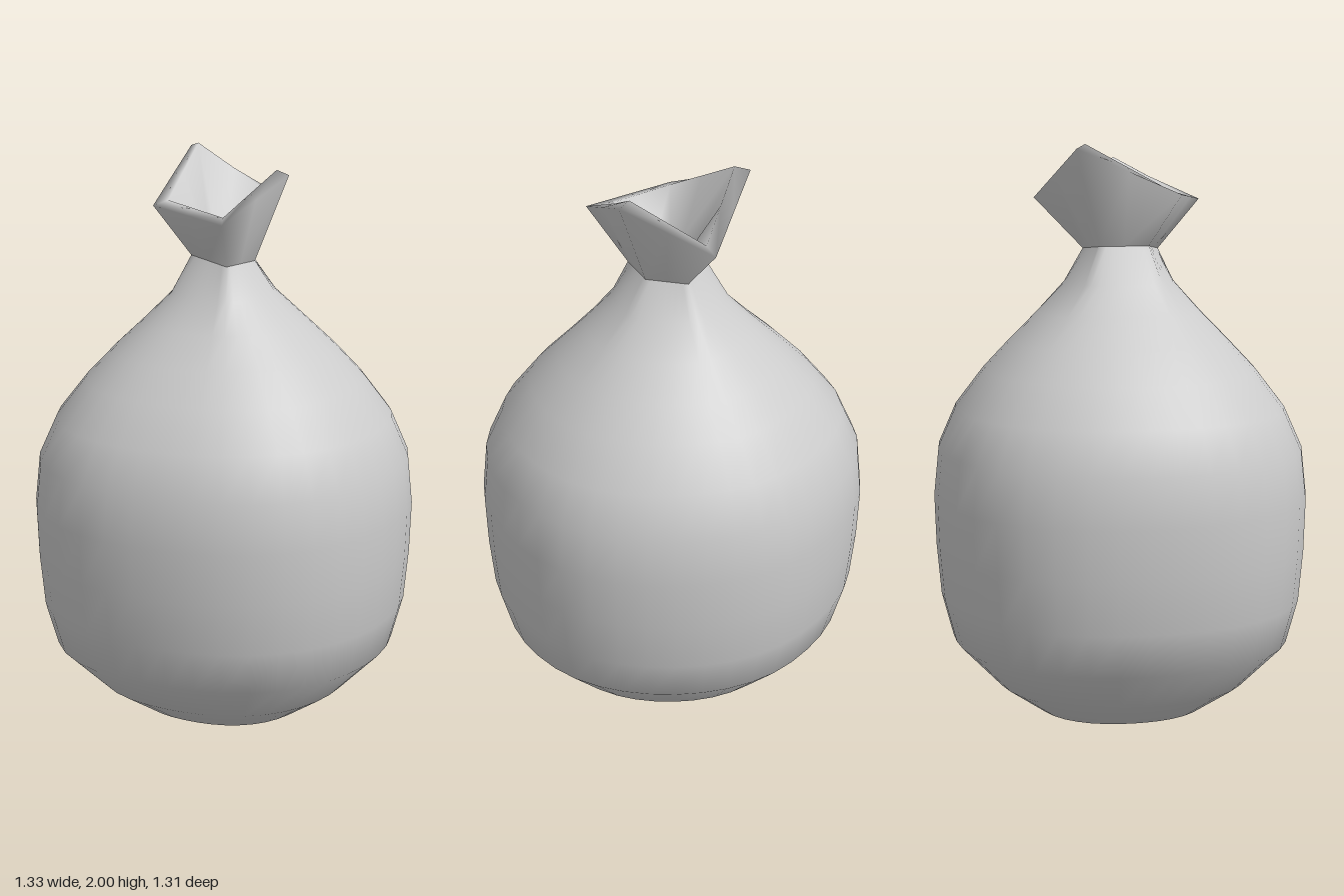
import * as THREE from 'three';

const material = new THREE.MeshStandardMaterial({ color: 0xcccccc });

// Skin a stack of closed rings, each with the same number of points.
function loft(name, rings) {
  const n = rings[0].length, index = [];
  for (let j = 0; j < rings.length - 1; j++) {
    for (let i = 0; i < n; i++) {
      const a = j * n + i, b = j * n + (i + 1) % n;
      index.push(a, a + n, b, b, a + n, b + n);
    }
  }
  const geometry = new THREE.BufferGeometry();
  const points = rings.flat().flatMap((p) => [p.x, p.y, p.z]);
  geometry.setAttribute('position', new THREE.Float32BufferAttribute(points, 3));
  geometry.setIndex(index);
  geometry.computeVertexNormals();
  const mesh = new THREE.Mesh(geometry, material);
  mesh.name = name;
  return mesh;
}

// Five corners, running from the left side round by the front.
const corners = (list) => list.map((p) => new THREE.Vector3(...p));
const neck = corners([[0.105, 1.63, 0.015], [0.05, 1.63, 0.15], [-0.1, 1.65, 0.09],
  [-0.1, 1.65, -0.08], [0.04, 1.635, -0.12]]);
const rim = corners([[0.225, 1.93, 0.015], [0.09, 1.8, 0.305], [-0.2, 1.83, 0.185],
  [-0.2, 1.985, -0.175], [0.09, 1.81, -0.285]]);

// Point on a five-sided outline, t from 0 to 1.
function onOutline(outline, t) {
  const s = t * 5, k = Math.floor(s) % 5;
  return outline[k].clone().lerp(outline[(k + 1) % 5], s - Math.floor(s));
}

// Uneven bulge of the sack, given every 45 degrees.
const bulge = [1.005, 1.02, 0.99, 1.055, 1.005, 1.045, 0.995, 0.975];
function bulgeAt(t) {
  const s = t * 8, k = Math.floor(s) % 8, f = s - Math.floor(s);
  const ease = (1 - Math.cos(f * Math.PI)) / 2;
  return THREE.MathUtils.lerp(bulge[k], bulge[(k + 1) % 8], ease);
}

export function createModel() {
  const model = new THREE.Group();
  model.name = 'tiedSack';

  // Sack body: [radius, height, share of the pinched neck outline]
  const profile = [[0, 0, 0], [0.28, 0, 0], [0.31, 0.004, 0], [0.455, 0.11, 0], [0.6, 0.265, 0],
    [0.64, 0.42, 0], [0.655, 0.6, 0], [0.66, 0.78, 0], [0.642, 0.95, 0], [0.58, 1.09, 0],
    [0.48, 1.22, 0], [0.385, 1.32, 0], [0.285, 1.42, 0.1], [0.19, 1.52, 0.4], [0.12, 1.64, 1]];
  const sides = 40;
  const bodyRings = profile.map(([r, y, pinch]) => Array.from({ length: sides }, (_, i) => {
    const t = i / sides, a = t * Math.PI * 2, round = r * bulgeAt(t);
    const p = new THREE.Vector3(Math.cos(a) * round, y, Math.sin(a) * round);
    const q = onOutline(neck, t);
    q.set(q.x * r / 0.12, y + (q.y - 1.64) * pinch, q.z * r / 0.12);
    return p.lerp(q, pinch);
  }));
  model.add(loft('sackBody', bodyRings));

  // Flared mouth above the tie: outside, folded rim, then the hollow inside
  const ring = (outline, scale, lift) => Array.from({ length: 10 }, (_, i) => {
    const p = onOutline(outline, i / 10);
    return p.set(p.x * scale, p.y + lift, p.z * scale);
  });
  const floor = ring(neck, 0, 0).map((p) => p.setY(1.66));
  model.add(loft('sackMouth', [ring(neck, 1, 0), ring(rim, 1, 0), ring(rim, 0.8, 0.015),
    ring(neck, 0.7, 0.08), floor]));
  return model;
}
